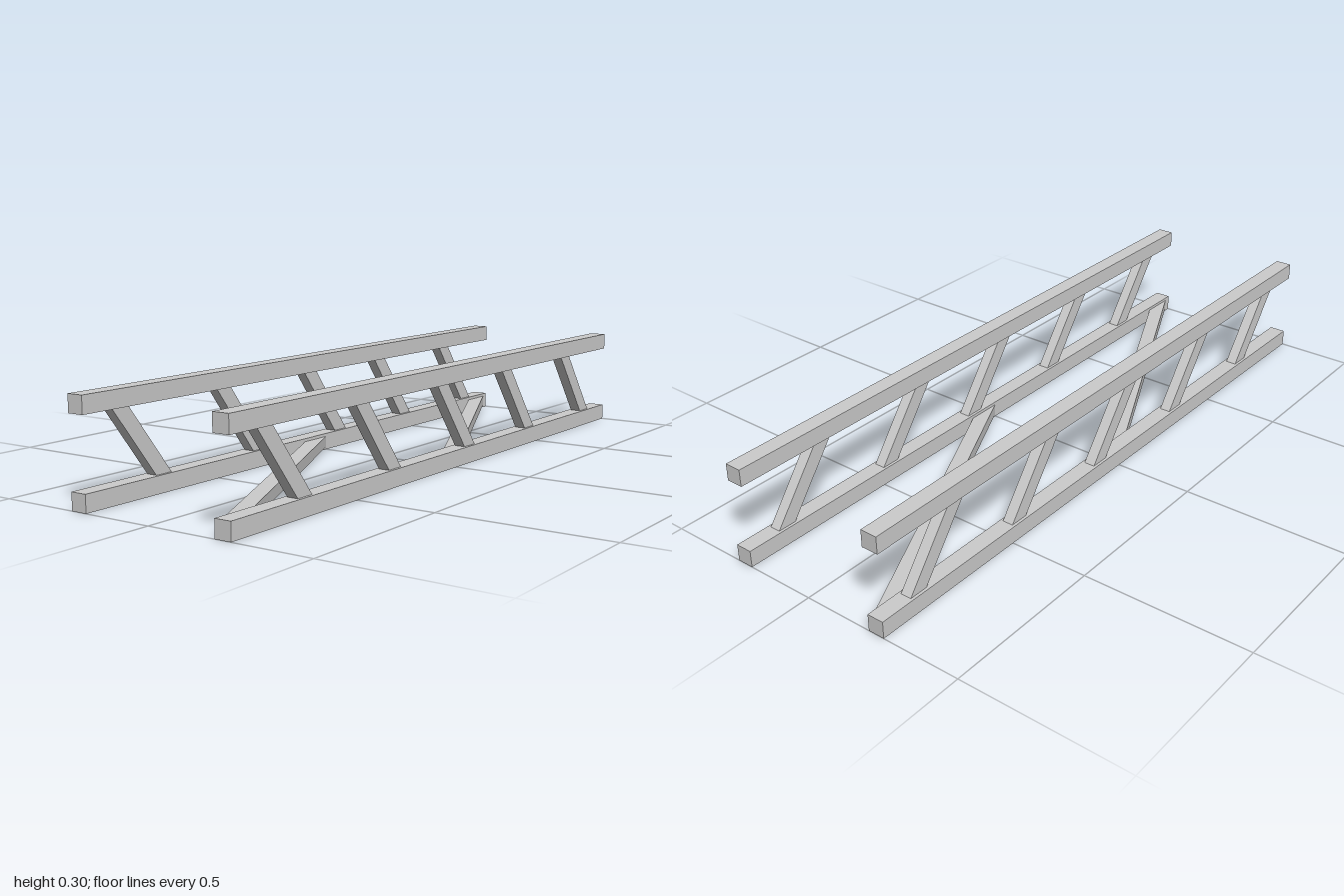
import * as THREE from 'three';

const RAIL = 0.05;       // square section of the long rails
const RAIL_X = 0.2375;   // rail centre line
const HEIGHT = 0.3;
const LENGTH = 2;
const BRACE = 0.033;     // thin side of every brace

const material = new THREE.MeshStandardMaterial({ color: 0xcccccc, flatShading: true });

function addMesh(parent, name, geometry, x, y, z) {
  const mesh = new THREE.Mesh(geometry, material);
  mesh.name = name;
  mesh.position.set(x, y, z);
  parent.add(mesh);
}

// Box whose z is slanted along one axis, so its ends lie flush on the rails
function slantedBox(w, h, d, slopeX, slopeY) {
  const geometry = new THREE.BoxGeometry(w, h, d);
  const p = geometry.attributes.position;
  for (let i = 0; i < p.count; i++) {
    p.setZ(i, p.getZ(i) + slopeX * p.getX(i) + slopeY * p.getY(i));
  }
  geometry.computeVertexNormals();
  return geometry;
}

export function createModel() {
  const model = new THREE.Group();
  model.name = 'trussFrame';

  const railGeometry = new THREE.BoxGeometry(RAIL, RAIL, LENGTH);
  const gapY = HEIGHT - 2 * RAIL;
  const sideBrace = slantedBox(BRACE, gapY, 0.058, 0, 0.152 / gapY);

  // Two side trusses: top and bottom rail joined by leaning braces
  for (const [name, side] of [['left', 1], ['right', -1]]) {
    const truss = new THREE.Group();
    truss.name = name + 'Truss';
    const x = side * RAIL_X;
    addMesh(truss, name + 'BottomRail', railGeometry, x, RAIL / 2, 0);
    addMesh(truss, name + 'TopRail', railGeometry, x, HEIGHT - RAIL / 2, 0);
    for (const z of [0.787, 0.387, -0.012, -0.386, -0.786]) {
      addMesh(truss, name + 'SideBrace', sideBrace, x, HEIGHT / 2, z);
    }
    model.add(truss);
  }

  // Two diagonal floor braces between the bottom rails
  const gapX = 2 * RAIL_X - RAIL;
  const floorBrace = slantedBox(gapX, BRACE, 0.105, 0.875 / gapX, 0);
  for (const z of [-0.49, 0.49]) addMesh(model, 'floorBrace', floorBrace, 0, 0.024, z);

  return model;
}
